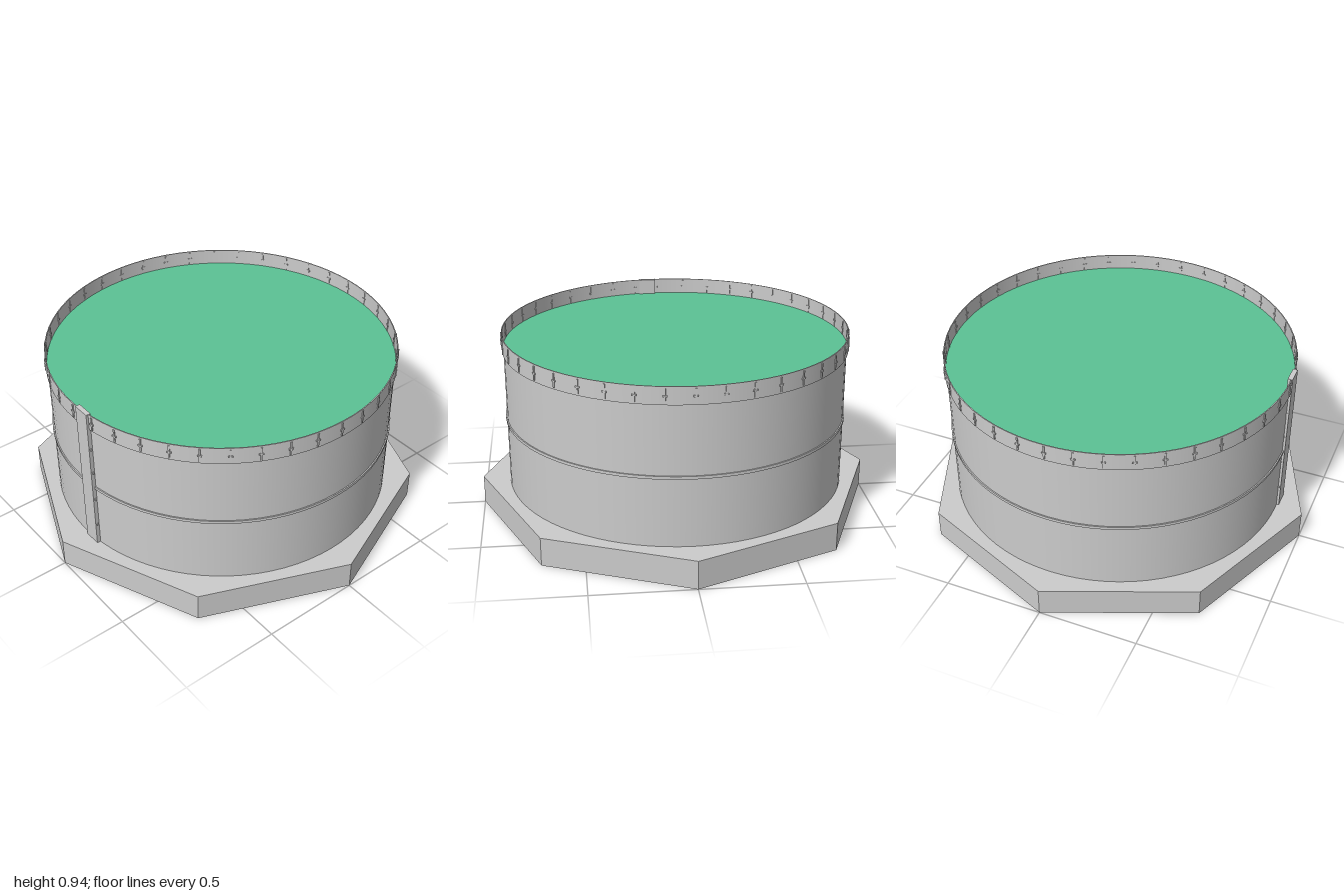
import * as THREE from 'three';

const grey = new THREE.MeshStandardMaterial({ color: 0xcccccc });
const greyThin = new THREE.MeshStandardMaterial({ color: 0xcccccc, side: THREE.DoubleSide });
const greyFlat = new THREE.MeshStandardMaterial({ color: 0xcccccc, side: THREE.DoubleSide, flatShading: true });
const green = new THREE.MeshStandardMaterial({ color: 0x5cc295 });

const SEG = 80;
const BASE_TOP = 0.145, ROOF = 0.855, TOP = 0.935, R = 0.86;

export function createModel() {
  const model = new THREE.Group();

  const add = (name, geometry, material = grey, parent = model) => {
    const mesh = new THREE.Mesh(geometry, material);
    mesh.name = name;
    parent.add(mesh);
    return mesh;
  };

  // Open or closed wall between two heights, optionally only an arc of it
  const wall = (name, r, y0, y1, material = greyThin, start = 0, arc = Math.PI * 2) => {
    const segments = Math.max(4, Math.round(SEG * arc / (Math.PI * 2)));
    const mesh = add(name, new THREE.CylinderGeometry(r, r, y1 - y0, segments, 1, true, start, arc), material);
    mesh.position.y = (y0 + y1) / 2;
    return mesh;
  };

  // Solid-looking hoop with a rectangular section
  const hoop = (name, r0, r1, y0, y1) => {
    const corners = [[r0, y0], [r1, y0], [r1, y1], [r0, y1], [r0, y0]];
    // Each edge is turned separately so its corners stay sharp
    const group = new THREE.Group();
    group.name = name;
    model.add(group);
    for (let i = 0; i < 4; i++) {
      const edge = [corners[i], corners[i + 1]].map(([x, y]) => new THREE.Vector2(x, y));
      add(name + 'Side', new THREE.LatheGeometry(edge, SEG), greyThin, group);
    }
  };

  // Octagonal plinth, hollow and open underneath
  const plinth = new THREE.Group();
  plinth.name = 'plinth';
  model.add(plinth);
  add('plinthWalls', new THREE.CylinderGeometry(1, 1, BASE_TOP, 8, 1, true), greyFlat, plinth)
    .position.y = BASE_TOP / 2;
  const slab = add('plinthTop', new THREE.CircleGeometry(1, 8), greyFlat, plinth);
  slab.rotation.x = -Math.PI / 2;
  slab.position.y = BASE_TOP;

  // Tank shell and its coloured cover
  wall('tankWall', R, BASE_TOP, ROOF);
  const cover = add('tankCover', new THREE.CircleGeometry(R + 0.004, SEG), green);
  cover.rotation.x = -Math.PI / 2;
  cover.position.y = ROOF;

  // Stiffening band round the middle, parapet round the top
  hoop('middleBand', R - 0.002, 0.866, 0.488, 0.503);
  hoop('parapet', 0.863, 0.868, 0.848, TOP);

  // Seam brackets spaced evenly round the parapet, with a bolt plate on each
  const brackets = new THREE.Group();
  brackets.name = 'parapetBrackets';
  model.add(brackets);
  const count = 40;
  for (let i = 0; i < count; i++) {
    const bracket = new THREE.Group();
    bracket.name = 'parapetBracket';
    bracket.rotation.y = (i / count) * Math.PI * 2;
    add('bracketStrip', new THREE.BoxGeometry(0.008, 0.07, 0.012), grey, bracket).position.set(0, 0.892, 0.866);
    add('bracketPlate', new THREE.BoxGeometry(0.022, 0.008, 0.014), grey, bracket).position.set(0, 0.89, 0.866);
    brackets.add(bracket);
  }

  // Upright duct on the front, with small fixings along both edges
  const duct = new THREE.Group();
  duct.name = 'frontDuct';
  model.add(duct);
  add('ductCover', new THREE.BoxGeometry(0.088, TOP - BASE_TOP, 0.024), grey, duct)
    .position.set(0.07, (TOP + BASE_TOP) / 2, 0.859);
  for (const y of [0.265, 0.425, 0.59, 0.73]) {
    for (const side of [-1, 1]) {
      add('ductFixing', new THREE.BoxGeometry(0.006, 0.012, 0.01), grey, duct)
        .position.set(0.07 + side * 0.046, y, 0.86);
    }
  }

  // Small curved plate on the left flank
  wall('sidePlate', R + 0.003, 0.64, 0.688, greyThin, 1.165, 0.185);

  return model;
}
